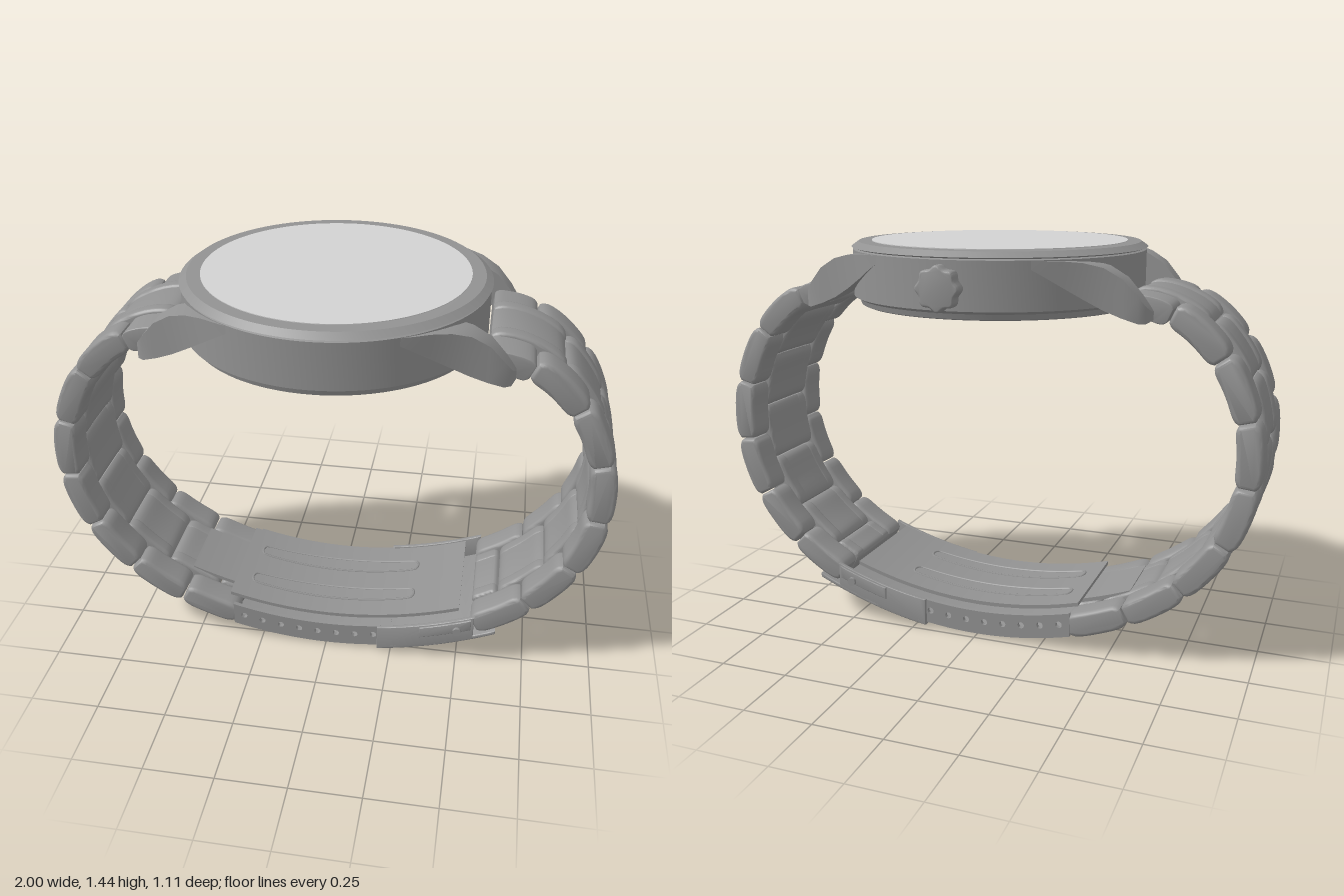
import * as THREE from 'three';
import { toCreasedNormals } from 'three/addons/utils/BufferGeometryUtils.js';

export function createModel() {
  const model = new THREE.Group();
  const steel = new THREE.MeshStandardMaterial({ color: 0x929292 });
  steel.name = 'steel';
  const glass = new THREE.MeshStandardMaterial({ color: 0xd2d2d2 });
  glass.name = 'pale dial';
  const watch = new THREE.Group();
  watch.name = 'watch';
  watch.position.z = 0.026;
  model.add(watch);

  const add = (name, geo, mat = steel, parent = watch) => {
    const mesh = new THREE.Mesh(geo, mat);
    mesh.name = name;
    parent.add(mesh);
    return mesh;
  };
  const group = (name) => {
    const g = new THREE.Group();
    g.name = name;
    watch.add(g);
    return g;
  };
  const V2 = (x, y) => new THREE.Vector2(x, y);

  // Extrude a side profile between two z values, with softened edges
  const slab = (points, z0, z1, bevel = 0, holes = []) => {
    const shape = new THREE.Shape(points);
    shape.holes.push(...holes);
    const geo = new THREE.ExtrudeGeometry(shape, {
      depth: z1 - z0 - 2 * bevel, curveSegments: 12, bevelEnabled: bevel > 0,
      bevelSize: bevel * 0.8, bevelOffset: -bevel * 0.8, bevelThickness: bevel, bevelSegments: 3,
    });
    geo.translate(0, 0, z0 + bevel);
    return toCreasedNormals(geo, 0.6);
  };

  // Case, bezel and stepped back
  const profile = [[0, 1.222], [0.465, 1.222], [0.47, 1.23], [0.485, 1.23], [0.49, 1.218], [0.5, 1.222],
    [0.506, 1.24], [0.525, 1.25], [0.525, 1.412], [0.516, 1.416], [0.53, 1.421], [0.505, 1.439], [0.465, 1.44], [0, 1.436]];
  add('case', toCreasedNormals(new THREE.LatheGeometry(profile.map(([x, y]) => V2(x, y)), 96), 0.4));
  const dial = add('dial', new THREE.CylinderGeometry(0.458, 0.458, 0.006, 96));
  dial.material = glass;
  dial.position.y = 1.4395;
  for (let i = 0; i < 6; i++) {
    const a = (i + 0.5) * Math.PI / 3;
    const notch = add('backNotch', new THREE.BoxGeometry(0.02, 0.012, 0.05));
    notch.position.set(Math.cos(a) * 0.478, 1.226, Math.sin(a) * 0.478);
    notch.rotation.y = -a;
  }

  // Fluted crown at the back
  const lobes = [];
  for (let i = 0; i < 64; i++) {
    const a = i / 64 * Math.PI * 2, r = 0.071 + 0.005 * Math.cos(8 * a);
    lobes.push(V2(Math.cos(a) * r, 1.325 + Math.sin(a) * r));
  }
  add('crown', slab(lobes, -0.581, -0.53, 0.01));
  const stem = add('crownStem', new THREE.CylinderGeometry(0.045, 0.045, 0.08, 24));
  stem.rotation.x = Math.PI / 2;
  stem.position.set(0, 1.325, -0.51);

  // Lugs lofted from rectangular sections: x, outer z, top y, bottom y
  const sections = [[0.24, 0.462, 1.41, 1.4], [0.3, 0.438, 1.41, 1.365], [0.36, 0.405, 1.408, 1.325], [0.42, 0.377, 1.402, 1.287],
    [0.48, 0.357, 1.387, 1.253], [0.54, 0.345, 1.352, 1.228], [0.59, 0.335, 1.295, 1.212], [0.612, 0.318, 1.265, 1.21], [0.625, 0.28, 1.245, 1.217]];
  const lug = (sx, sz) => {
    const pos = [], idx = [];
    sections.forEach(([x, z, t, b]) => {
      for (const [zz, y] of [[0.262, b], [z, b], [z, t], [0.262, t]]) pos.push(x * sx, y, zz * sz);
    });
    const tri = (a, b, c) => idx.push(...(sx * sz > 0 ? [a, b, c] : [a, c, b]));
    const quad = (a, b, c, d) => { tri(a, b, c); tri(a, c, d); };
    const last = (sections.length - 1) * 4;
    for (let i = 0; i < last; i += 4) {
      for (let j = 0; j < 4; j++) {
        const k = (j + 1) % 4;
        quad(i + j, i + k, i + 4 + k, i + 4 + j);
      }
    }
    quad(3, 2, 1, 0);
    quad(last, last + 1, last + 2, last + 3);
    const geo = new THREE.BufferGeometry();
    geo.setAttribute('position', new THREE.Float32BufferAttribute(pos, 3));
    geo.setIndex(idx);
    // Loop corners run inner-bottom, outer-bottom, outer-top, inner-top, so turn them outward
    const a = geo.index.array;
    for (let i = 0; i < a.length; i += 3) [a[i + 1], a[i + 2]] = [a[i + 2], a[i + 1]];
    return toCreasedNormals(geo, 0.6);
  };
  for (const sx of [1, -1]) for (const sz of [1, -1]) add('lug', lug(sx, sz));

  // Bracelet centre line, from the lug down to the clasp
  const path = new THREE.CatmullRomCurve3([[0.53, 1.268], [0.64, 1.25], [0.76, 1.185], [0.88, 1.04], [0.945, 0.86],
    [0.953, 0.72], [0.93, 0.58], [0.86, 0.43], [0.74, 0.29], [0.6, 0.19], [0.4, 0.105], [0.2, 0.065], [0, 0.052]]
    .map(([x, y]) => new THREE.Vector3(x, y, 0)));
  const length = path.getLength();
  let anchor = 0;
  while (path.getPointAt(anchor).y > 0.67) anchor += 0.001;
  const at = (n) => Math.max(0, anchor + 0.222 * n / length);

  // Rounded side profile of one link between two stations on the path
  const linkProfile = (n0, n1, outer, inner, side) => {
    const top = [], bottom = [], gap = 0.002 / length;
    const u0 = at(n0) + gap, u1 = at(n1) - gap;
    for (let i = 0; i <= 14; i++) {
      const f = 0.5 - 0.5 * Math.cos(i / 14 * Math.PI), u = u0 + (u1 - u0) * f;
      const p = path.getPointAt(u), t = path.getTangentAt(u);
      const soft = 1 - 0.4 * Math.pow(Math.abs(2 * f - 1), 8);
      const point = (d) => V2((p.x - t.y * d) * side, p.y + t.x * d);
      top.push(point(outer * soft));
      bottom.unshift(point(-inner * soft));
    }
    return [...top, ...bottom];
  };

  for (const side of [1, -1]) {
    const band = group(side > 0 ? 'leftBand' : 'rightBand');
    const end = side > 0 ? 3 : 4;
    const link = (name, n0, n1, z0, z1, outer, inner, bevel) =>
      add(name, slab(linkProfile(n0, n1, outer, inner, side), z0, z1, bevel), steel, band);
    // Solid end piece between the lugs
    link('endLink', -9, -3, -0.258, 0.258, 0.034, 0.045, 0.004);
    // Pillow-shaped outer links
    for (let n = -3; n < end; n++) {
      link('outerLink', n, n + 1, 0.145, 0.253, 0.047, 0.044, 0.018);
      link('outerLink', n, n + 1, -0.253, -0.145, 0.047, 0.044, 0.018);
    }
    // Middle links, offset by half a link, each with two raised rails
    for (let n = -3.5; n < end; n++) {
      const n0 = n < -3 ? -9 : n, n1 = Math.min(n + 1, end);
      link('middleLink', n0, n1, -0.1, 0.1, 0.04, 0.04, 0.004);
      link('linkRail', n0, n1, 0.08, 0.139, 0.048, 0.042, 0.014);
      link('linkRail', n0, n1, -0.139, -0.08, 0.048, 0.042, 0.014);
    }
  }

  // Folding clasp, bent along a shallow arc
  const clasp = group('clasp');
  const arc = (x) => 0.003 + 0.36 * x * x;
  const strip = (x0, x1, low, high) => {
    const a = [], b = [];
    for (let i = 0; i <= 16; i++) {
      const x = x0 + (x1 - x0) * i / 16;
      a.push(V2(x, arc(x) + low));
      b.unshift(V2(x, arc(x) + high));
    }
    return [...a, ...b];
  };
  const part = (name, box, z0, z1, bevel = 0, holes = []) => add(name, slab(strip(...box), z0, z1, bevel, holes), steel, clasp);
  part('claspFloor', [-0.36, 0.24, 0.004, 0.016], -0.25, 0.25);
  part('claspCover', [0.2, 0.64, -0.002, 0.014], -0.268, 0.268, 0.004);
  part('foldingBlade', [-0.38, 0.5, 0.106, 0.12], -0.215, 0.215);
  part('bladeTongue', [-0.55, -0.36, 0.088, 0.102], -0.13, 0.13);
  for (const s of [1, -1]) {
    const range = (a, b) => s > 0 ? [a, b] : [-b, -a];
    // Perforated adjustment wall
    const holes = [];
    for (let i = 0; i < 8; i++) {
      const x = -0.32 + i * 0.072;
      holes.push(new THREE.Path().absarc(x, arc(x) + 0.056, 0.012, 0, Math.PI * 2, true));
    }
    part('perforatedWall', [-0.36, 0.21, 0.006, 0.096], ...range(0.238, 0.254), 0, holes);
    part('coverWall', [0.2, 0.56, 0, 0.1], ...range(0.252, 0.268), 0.003);
    part('sideFlap', [0.36, 0.55, 0.05, 0.095], ...range(0.266, 0.276), 0.003);
    const button = add('releaseButton', new THREE.CylinderGeometry(0.016, 0.016, 0.025, 20), steel, clasp);
    button.rotation.x = Math.PI / 2;
    button.position.set(0.5, arc(0.5) + 0.06, s * 0.275);
    // Raised long loop pressed into the blade
    const loop = [];
    for (let i = 0; i < 40; i++) {
      const a = i / 40 * Math.PI * 2, c = Math.cos(a);
      const x = (c >= 0 ? 0.29 : -0.29) * Math.min(1, Math.abs(c) * 1.6) + 0.03 * c;
      loop.push(new THREE.Vector3(x, arc(x) + 0.12, s * 0.09 + 0.036 * Math.sin(a)));
    }
    add('bladeGroove', new THREE.TubeGeometry(new THREE.CatmullRomCurve3(loop, true), 100, 0.005, 6, true), steel, clasp);
  }
  // Half-round thumb tab under the cover edge
  const tab = add('thumbTab', new THREE.CylinderGeometry(0.07, 0.07, 0.008, 32, 1, false, Math.PI, Math.PI), steel, clasp);
  tab.position.set(0.2, arc(0.17) + 0.002, 0);
  tab.rotation.z = 0.13;

  return model;
}
